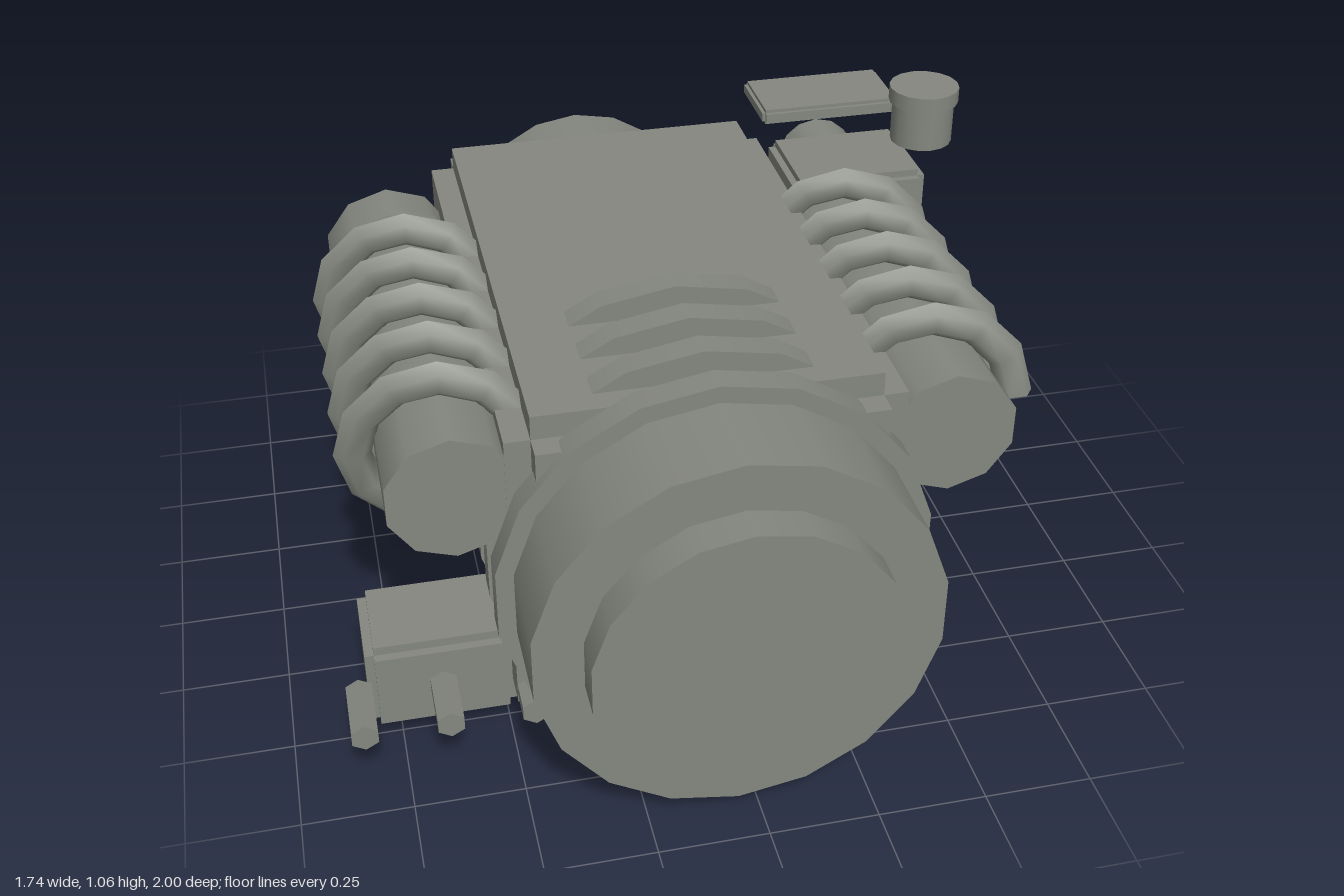
import * as THREE from 'three';

const metal = new THREE.MeshStandardMaterial({ color: 0x84877f });

export function createModel() {
  const root = new THREE.Group();

  function add(name, geometry, x, y, z) {
    const mesh = new THREE.Mesh(geometry, metal);
    mesh.name = name;
    mesh.position.set(x, y, z);
    root.add(mesh);
    return mesh;
  }

  // Box with notched edges: three crossing slabs, each reaching full size along one axis
  function notchedBox(name, x, y, z, w, h, d, n) {
    const group = new THREE.Group();
    group.name = name;
    group.position.set(x, y, z);
    const e = 2 * n;
    for (const [a, b, c] of [[w, h - e, d - e], [w - e, h, d - e], [w - e, h - e, d]]) {
      const slab = new THREE.Mesh(new THREE.BoxGeometry(a, b, c), metal);
      slab.name = name + 'Slab';
      group.add(slab);
    }
    root.add(group);
  }

  // Cylinder along z between two depths
  function barrel(name, x, y, z0, z1, r, sides) {
    const g = new THREE.CylinderGeometry(r, r, Math.abs(z1 - z0), sides).rotateX(Math.PI / 2);
    return add(name, g, x, y, (z0 + z1) / 2);
  }

  // Six-sided capped bar wound into a coil, deeper radially than along the axis
  function coilGeometry(radius, turns, zStart, pitch, deep, thick) {
    const g = new THREE.CylinderGeometry(1, 1, 1, 6, turns * 12, false, Math.PI / 2);
    const p = g.attributes.position;
    for (let i = 0; i < p.count; i++) {
      const t = (p.getY(i) + 0.5) * turns;
      const a = t * Math.PI * 2;
      const r = radius + deep * p.getX(i);
      p.setXYZ(i, r * Math.cos(a), r * Math.sin(a), zStart - pitch * t + thick * p.getZ(i));
    }
    g.computeVertexNormals();
    return g;
  }

  const cx = -0.05, cy = 0.49;

  // Main housing
  notchedBox('housing', cx, cy + 0.003, -0.027, 0.88, 0.83, 1.39, 0.057);

  // Front drum, its end cap and the rear drum
  barrel('frontDrum', cx, cy, 0.585, 0.915, 0.45, 18);
  barrel('frontCap', cx, cy, 0.9, 1, 0.34, 18);
  barrel('rearDrum', cx, cy, -0.7, -1, 0.322, 18);

  // Flange and cooling fins
  for (let i = 0; i < 4; i++) {
    const z = 0.66 - i * 0.138;
    barrel(i ? 'coolingFin' : 'flange', cx, cy, z - 0.032, z + 0.032, 0.49, 18);
  }

  // Side tubes with collars and coils, and rear side plates with discs
  for (const s of [-1, 1]) {
    const side = s < 0 ? 'right' : 'left';
    const tx = cx + s * 0.55;
    barrel(side + 'Tube', tx, 0.725, -0.42, 0.61, 0.15, 10);
    barrel(side + 'Collar', cx + s * 0.57, 0.705, -0.545, -0.405, 0.165, 10);
    add(side + 'Coil', coilGeometry(0.193, 5, 0.48, 0.168, 0.042, 0.031), tx, 0.725, 0);

    notchedBox(side + 'Plate', cx + s * 0.5, cy, -0.725, 0.13, 0.36, 0.36, 0.028);
    const disc = new THREE.CylinderGeometry(0.15, 0.15, 0.1, 16).rotateZ(Math.PI / 2);
    add(side + 'Disc', disc, cx + s * 0.585, cy, -0.722);
  }

  // Valve block at the back of the left tube, with stepped nozzle
  notchedBox('valveBlock', 0.572, 0.757, -0.445, 0.35, 0.262, 0.28, 0.018);
  barrel('nozzleBase', 0.57, 0.765, -0.56, -0.71, 0.103, 14);
  barrel('nozzleTip', 0.57, 0.765, -0.69, -0.757, 0.076, 14);

  // Flat cover plate and filler cap
  notchedBox('coverPlate', 0.574, 0.942, -0.695, 0.375, 0.04, 0.21, 0.009);
  add('fillerNeck', new THREE.CylinderGeometry(0.08, 0.08, 0.11, 16), 0.777, 0.967, -0.45);
  add('fillerCap', new THREE.CylinderGeometry(0.09, 0.09, 0.04, 16), 0.777, 1.042, -0.45);

  // Control box with three hexagonal rods
  notchedBox('controlBox', -0.65, 0.168, 0.424, 0.34, 0.228, 0.25, 0.021);
  for (const x of [-0.84, -0.65, -0.46]) {
    const rod = barrel('hexRod', x, 0.17, 0.535, 0.69, 0.034, 6);
    rod.geometry = rod.geometry.toNonIndexed();
    rod.geometry.computeVertexNormals();
  }

  return root;
}
